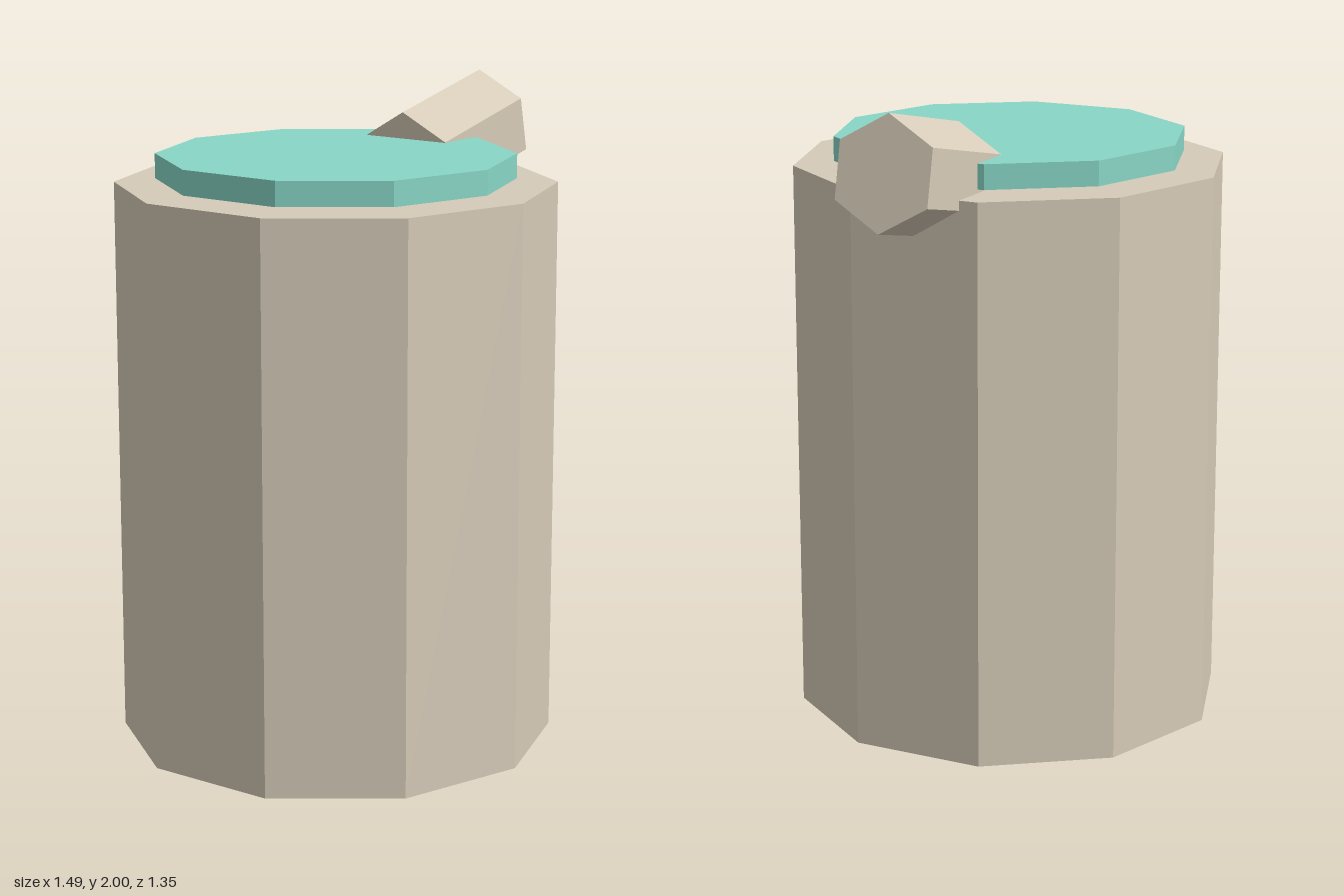
import * as THREE from 'three';

export function createModel() {
  const model = new THREE.Group();
  const stone = new THREE.MeshStandardMaterial({ color: 0xd6cbb8, flatShading: true });
  stone.name = 'beige';
  const teal = new THREE.MeshStandardMaterial({ color: 0x88d6c5, flatShading: true });
  teal.name = 'teal';

  // Upright or tilted prism with a given number of sides
  const prism = (name, radius, length, sides, material, x, y, thetaStart = 0) => {
    const geometry = new THREE.CylinderGeometry(radius, radius, length, sides, 1, false, thetaStart);
    const mesh = new THREE.Mesh(geometry, material);
    mesh.name = name;
    mesh.position.set(x, y, 0);
    model.add(mesh);
    return mesh;
  };

  const bodyX = -0.109;

  // Ten-sided body and the thin disc hovering just above its top
  prism('body', 0.673, 1.737, 10, stone, bodyX, 1.737 / 2);
  prism('topDisc', 0.548, 0.076, 10, teal, bodyX, 1.786);

  // Hexagonal spout, ridge upward, rising toward +x
  const spout = prism('spout', 0.172, 0.44, 6, stone, 0.492, 1.787, Math.PI / 6);
  spout.rotation.z = -THREE.MathUtils.degToRad(78);

  return model;
}
